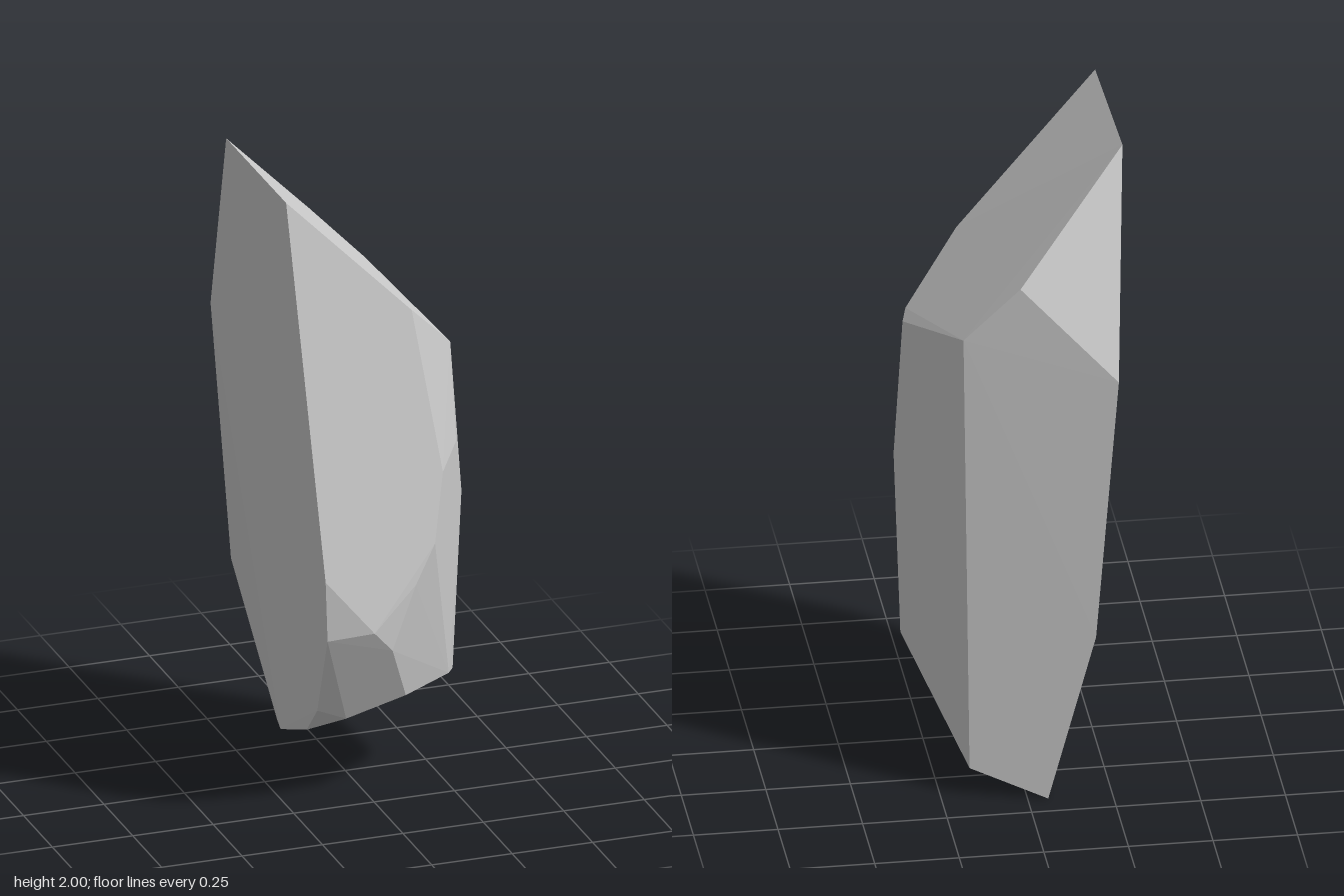
import * as THREE from 'three';
import { ConvexGeometry } from 'three/addons/geometries/ConvexGeometry.js';

// Corners of the stone, grouped by the facet rim they belong to.
const slantedTop = [
  [-0.32, 2.0, -0.14], [-0.31, 1.99, 0.352], [0.115, 1.55, 0.255], [0.285, 1.37, 0.115],
  [0.3, 1.35, 0.07], [0.175, 1.48, -0.315], [0.01, 1.65, -0.34],
];
const backEdge = [[-0.27, 1.36, -0.415], [-0.2, 0.53, -0.433]];
const frontRidge = [
  [-0.215, 0.8, 0.43], [-0.2, 0.6, 0.405], [-0.05, 0.6, 0.395], [0.02, 0.52, 0.355],
  [0.1, 0.71, 0.335], [0.17, 0.82, 0.305], [0.205, 1.03, 0.275], [0.28, 1.08, 0.18],
  [0.32, 0.89, 0.115],
];
const slantedBase = [
  [-0.06, 0, -0.423], [0.165, 0.09, -0.37], [0.305, 0.315, 0.08], [0.27, 0.33, 0.145],
  [0.095, 0.33, 0.26], [-0.085, 0.275, 0.245], [-0.18, 0.32, 0.26], [-0.17, 0.21, 0.14],
  [-0.165, 0.115, -0.1],
];

export function createModel() {
  const group = new THREE.Group();
  group.name = 'rock';

  // One convex, flat-faceted stone wrapped around the corners
  const corners = [...slantedTop, ...backEdge, ...frontRidge, ...slantedBase]
    .map((p) => new THREE.Vector3(...p));
  const stone = new THREE.Mesh(
    new ConvexGeometry(corners),
    new THREE.MeshStandardMaterial({ color: 0xcccccc, flatShading: true }),
  );
  stone.name = 'stone';
  group.add(stone);
  return group;
}
